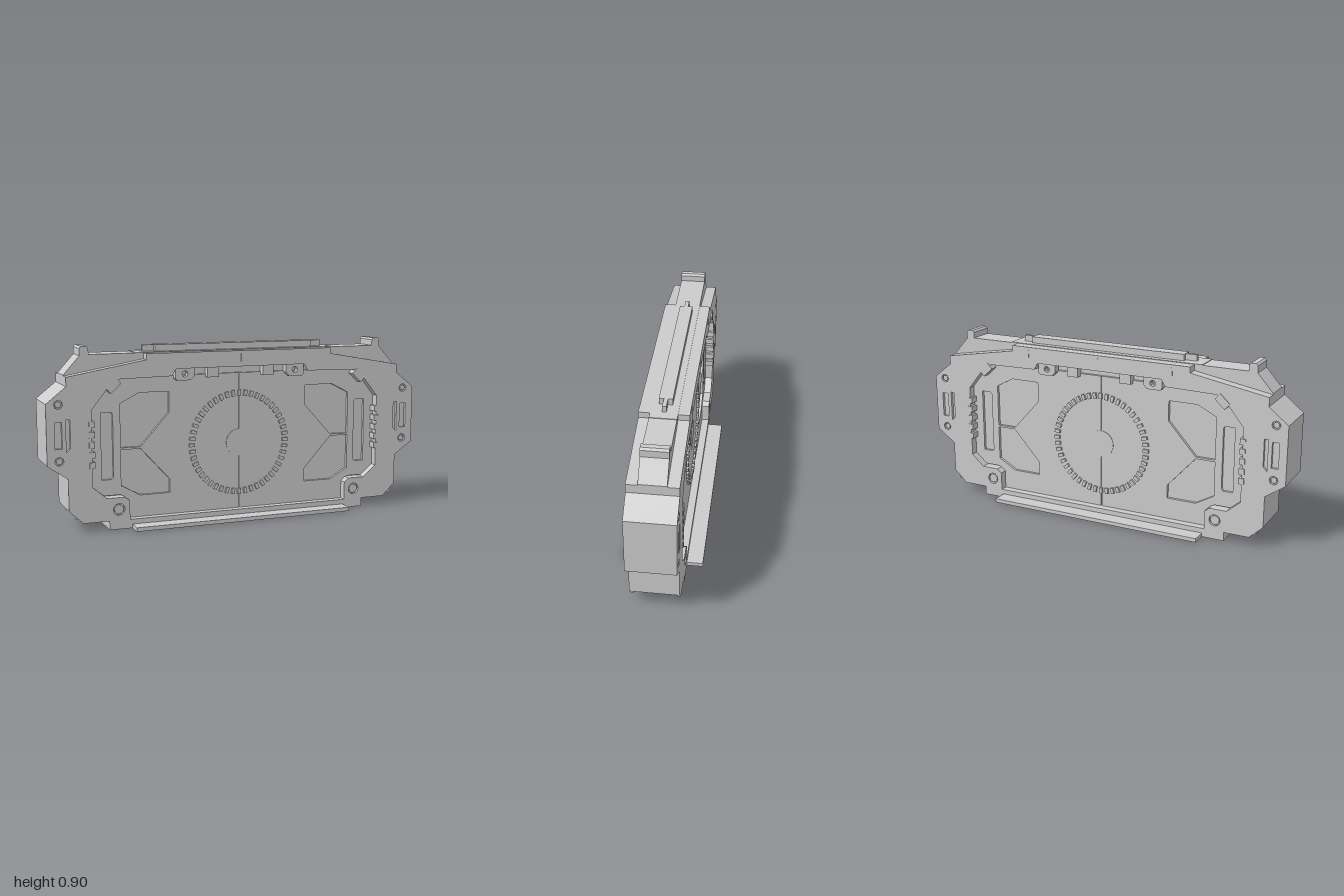
import * as THREE from 'three';

const mat = new THREE.MeshStandardMaterial({ color: 0xcccccc });
const CY = 0.39; // height of the gear centre

function add(parent, name, geo, x = 0, y = 0, z = 0) {
  const m = new THREE.Mesh(geo, mat);
  m.name = name;
  m.position.set(x, y, z);
  parent.add(m);
  return m;
}

const box = (w, h, d) => new THREE.BoxGeometry(w, h, d);
const flip = (pts) => pts.map(([x, y]) => [-x, y]).reverse();
const toPath = (pts) => pts.map(([x, y]) => new THREE.Vector2(x, y));
const rect = (x0, y0, x1, y1) => [[x0, y0], [x1, y0], [x1, y1], [x0, y1]];
const circle = (cx, cy, r, n = 12) => Array.from({ length: n }, (_, i) => {
  const a = (i / n) * Math.PI * 2;
  return [cx + r * Math.cos(a), cy + r * Math.sin(a)];
});

// Flat plate from an outline, between two depths
function plate(outline, z0, z1, holes = []) {
  const s = new THREE.Shape(toPath(outline));
  holes.forEach((h) => s.holes.push(new THREE.Path(toPath(h))));
  return new THREE.ExtrudeGeometry(s, { depth: z1 - z0, bevelEnabled: false }).translate(0, 0, z0);
}

// Right-hand half of the frame's outer edge, going up
const outer = [
  [0.595, 0.045], [0.83, 0.045], [0.9, 0.11], [0.9, 0.27], [1, 0.34], [1, 0.64],
  [0.9, 0.72], [0.9, 0.765], [0.5, 0.835], [0.5, 0.865],
];
// Right-hand half of the opening, going down
const inner = [
  [0.35, 0.785], [0.37, 0.75], [0.64, 0.745], [0.7, 0.7], [0.78, 0.6], [0.78, 0.22],
  [0.71, 0.16], [0.62, 0.16], [0.595, 0.14],
];
const frameOutline = [...outer, ...flip(outer), ...flip(inner), ...inner];

// Central slab, carrying the two top fins
const coreHalf = [
  [0.7, 0.04], [0.82, 0.06], [0.88, 0.12], [0.88, 0.7], [0.9, 0.72], [0.9, 0.77], [0.82, 0.86],
  [0.82, 0.895], [0.81, 0.905], [0.785, 0.905], [0.775, 0.895], [0.775, 0.865],
];
const coreOutline = [...coreHalf, ...flip(coreHalf)];

// Pockets in the frame face
const diagonalSlot = [[0.825, 0.105], [0.865, 0.065], [0.875, 0.075], [0.835, 0.115]];
const framePockets = [
  [[0.885, 0.42], [0.905, 0.4], [0.905, 0.56], [0.885, 0.56]],
  [[0.925, 0.42], [0.96, 0.42], [0.96, 0.55], [0.925, 0.55]],
  circle(0.94, 0.635, 0.022, 8), circle(0.94, 0.36, 0.022, 8),
  circle(0.65, 0.1, 0.03), diagonalSlot,
];

// Half of the recessed door panel and its pockets
const panelHalf = [
  [0.002, 0.045], [0.6, 0.045], [0.6, 0.14], [0.63, 0.165], [0.715, 0.165], [0.785, 0.22],
  [0.785, 0.6], [0.7, 0.71], [0.64, 0.75], [0.002, 0.75],
];
const panelPockets = [
  [[0.375, 0.67], [0.375, 0.565], [0.525, 0.4], [0.627, 0.4], [0.627, 0.62], [0.53, 0.67]],
  [[0.375, 0.155], [0.53, 0.155], [0.627, 0.21], [0.627, 0.39], [0.525, 0.39], [0.375, 0.225]],
  [[0.665, 0.255], [0.675, 0.245], [0.725, 0.245], [0.725, 0.58], [0.675, 0.58], [0.665, 0.57]],
];

// Everything seen on one face
function buildFace() {
  const face = new THREE.Group();
  face.name = 'face';
  add(face, 'frameSkin', plate(frameOutline, 0.105, 0.12, [...framePockets, ...framePockets.map(flip)]));
  add(face, 'panelLeft', plate(panelHalf, 0.06, 0.08, panelPockets));
  add(face, 'panelRight', plate(flip(panelHalf), 0.06, 0.08, panelPockets.map(flip)));

  // Gear ring of small raised teeth around a low hub
  const gear = new THREE.Group();
  gear.name = 'gear';
  gear.position.set(0, CY, 0.08);
  const teeth = 48;
  for (let i = 0; i < teeth; i++) {
    const a = (i / teeth) * Math.PI * 2;
    const t = add(gear, 'tooth', box(0.03, 0.017, 0.024), 0.257 * Math.cos(a), 0.257 * Math.sin(a), 0);
    t.rotation.z = a;
  }
  add(gear, 'hub', new THREE.CylinderGeometry(0.07, 0.07, 0.006, 32).rotateX(Math.PI / 2));
  face.add(gear);

  for (const s of [-1, 1]) {
    // Lock teeth along the side of the opening
    for (let i = 0; i < 5; i++) {
      add(face, 'lockTooth', box(0.028, 0.03, 0.06), s * 0.78, 0.33 + i * 0.05, 0.095);
    }
    // Bolts set into the pockets
    for (const [x, y, r] of [[0.65, 0.1, 0.024], [0.94, 0.635, 0.015], [0.94, 0.36, 0.015]]) {
      add(face, 'bolt', new THREE.CylinderGeometry(r, r, 0.014, 12).rotateX(Math.PI / 2), s * x, y, 0.109);
    }
    // Latches under the top beam
    const latch = plate(
      [[0.25, 0.745], [0.27, 0.725], [0.34, 0.725], [0.35, 0.735], [0.35, 0.785], [0.25, 0.785]],
      0.075, 0.112, [circle(0.3, 0.757, 0.016, 8)]);
    const l = add(face, 'latch', latch);
    if (s < 0) l.geometry = plate(flip(
      [[0.25, 0.745], [0.27, 0.725], [0.34, 0.725], [0.35, 0.735], [0.35, 0.785], [0.25, 0.785]]),
      0.075, 0.112, [circle(-0.3, 0.757, 0.016, 8)]);
    add(face, 'smallLatch', box(0.06, 0.05, 0.037), s * 0.15, 0.76, 0.092);
    // Angled corner catch
    add(face, 'cornerCatch', box(0.07, 0.04, 0.055), s * 0.67, 0.715, 0.096).rotation.z = -s * 0.75;
    // Thin ribs on the top beam
    add(face, 'beamRib', box(0.008, 0.04, 0.008), s * 0.405, 0.83, 0.12);
  }
  add(face, 'beamRib', box(0.008, 0.04, 0.008), 0, 0.83, 0.12);
  return face;
}

export function createModel() {
  const model = new THREE.Group();
  model.name = 'blastDoor';

  add(model, 'core', plate(coreOutline, -0.065, 0.065));
  add(model, 'frame', plate(frameOutline, -0.105, 0.105));

  const front = buildFace();
  const back = buildFace();
  back.rotation.y = Math.PI;
  model.add(front, back);

  // Base with its wider tread plate
  add(model, 'base', box(1.4, 0.045, 0.24), 0, 0.0225, 0);
  add(model, 'treadPlate', box(1.17, 0.02, 0.4), 0, 0.01, 0);

  // Top rail with narrow end tabs and stepped shoulders
  add(model, 'topRail', box(0.86, 0.035, 0.066), 0, 0.8825, 0);
  add(model, 'railTabs', box(0.98, 0.034, 0.02), 0, 0.882, 0);
  add(model, 'beamShoulders', box(1.08, 0.03, 0.13), 0, 0.853, 0);
  return model;
}
